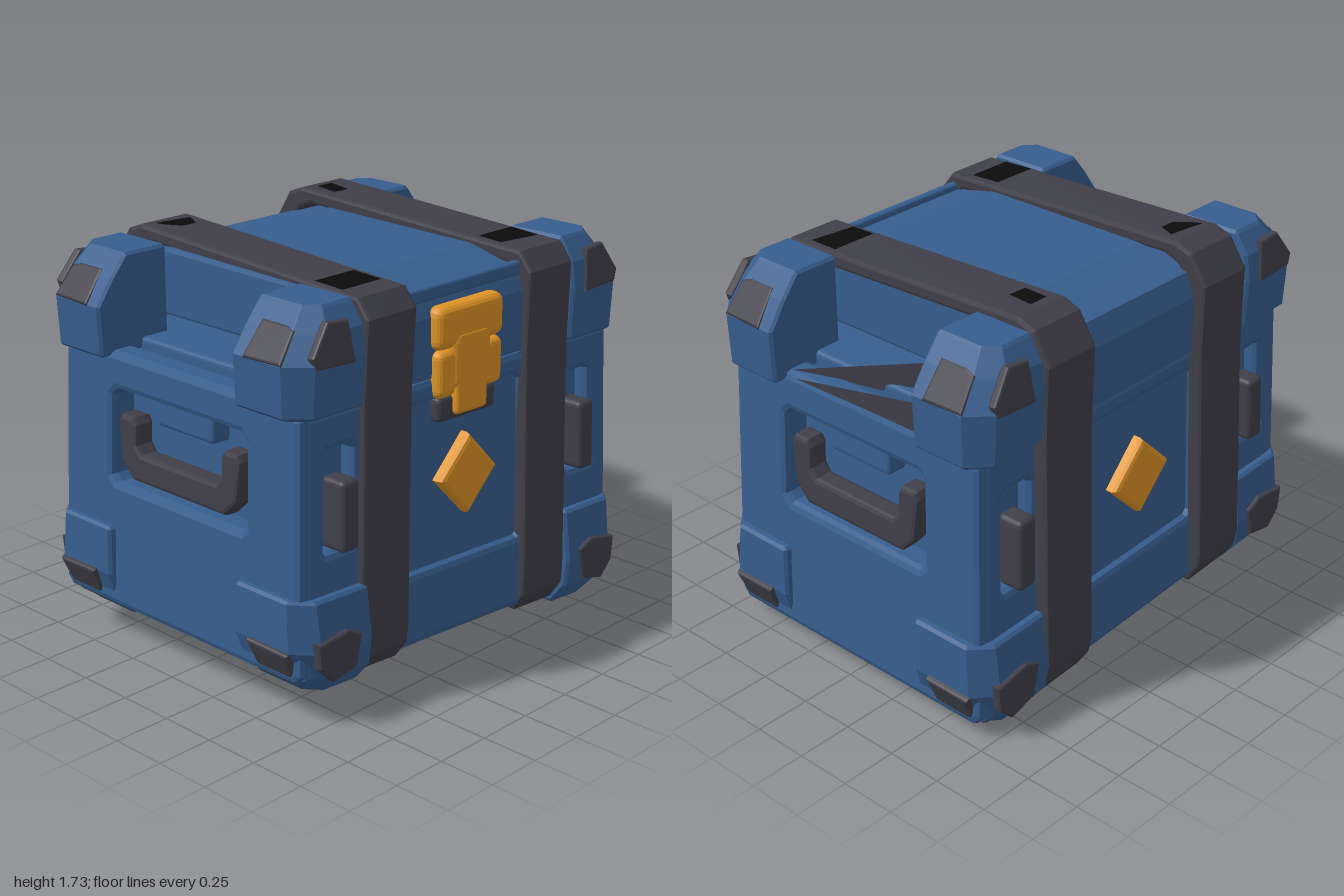
import * as THREE from 'three';
import { RoundedBoxGeometry } from 'three/addons/geometries/RoundedBoxGeometry.js';
import { ConvexGeometry } from 'three/addons/geometries/ConvexGeometry.js';

const material = (name, color) =>
  Object.assign(new THREE.MeshStandardMaterial({ color }), { name });

export function createModel() {
  const model = new THREE.Group();
  model.name = 'chest';
  const blue = material('blue', 0x375e8e);
  const dark = material('darkGrey', 0x403f49);
  const orange = material('orange', 0xe09426);
  const black = material('black', 0x0b0b0c);

  // Lopsided stance: the base leans down towards +x, and the body narrows upwards
  const lean = (x, y) => -0.07 * x * Math.max(0, 1 - y / 1.7);
  function add(name, geo, mat, taper = false) {
    const p = geo.attributes.position;
    for (let i = 0; i < p.count; i++) {
      const y = p.getY(i), k = taper ? 1 - 0.036 * y : 1;
      const x = p.getX(i) * k;
      p.setXYZ(i, x, y + lean(x, y), p.getZ(i) * k);
    }
    geo.computeVertexNormals();
    const mesh = new THREE.Mesh(geo, mat);
    mesh.name = name;
    model.add(mesh);
  }
  const points = (list) => list.map(([a, b]) => new THREE.Vector2(a, b));
  const rect = (x0, x1, y0, y1, c = 0.03) => [
    [x0 + c, y0], [x1 - c, y0], [x1, y0 + c], [x1, y1 - c],
    [x1 - c, y1], [x0 + c, y1], [x0, y1 - c], [x0, y0 + c]];
  // Bevelled slab, centred on z = 0
  function slab(outline, depth, bevel, holes = []) {
    const shape = new THREE.Shape(points(outline));
    holes.forEach((h) => shape.holes.push(new THREE.Path(points(h))));
    const geo = new THREE.ExtrudeGeometry(shape, {
      depth: depth - 2 * bevel, bevelThickness: bevel,
      bevelSize: bevel, bevelOffset: -bevel, bevelSegments: 2 });
    return geo.translate(0, 0, bevel - depth / 2);
  }
  // Slab whose outline lies in (z, y)
  const sideSlab = (...args) => slab(...args).rotateY(-Math.PI / 2);
  const block = (w, h, d, x, y, z, r = 0.02) =>
    new RoundedBoxGeometry(w, h, d, 2, r).translate(x, y, z);
  const hull = (list) => new ConvexGeometry(list.map((v) => new THREE.Vector3(...v)));

  // Body core and the low rim inside the lid opening
  add('bodyCore', new THREE.BoxGeometry(1.68, 1.12, 1.3).translate(0, 0.665, 0), blue, true);
  add('innerRim', block(1.6, 0.16, 1.24, 0, 1.22, 0), blue, true);

  // Front and back walls with grip recesses, a sunken panel and a raised diamond
  const diamond = [[0, -0.175], [0.175, 0], [0, 0.175], [-0.175, 0]];
  for (const s of [1, -1]) {
    const wall = slab(rect(-0.95, 0.95, 0.12, 1.25, 0.02), 0.12, 0.03, [
      rect(-0.36, 0.36, 0.44, 1.15, 0.02),
      rect(-0.85, -0.675, 0.66, 1.085, 0.02), rect(0.675, 0.85, 0.66, 1.085, 0.02)]);
    add('endWall', wall.translate(0, 0, s * 0.665), blue, true);
    add('sunkenPanel', block(0.8, 0.86, 0.1, 0, 0.77, s * 0.645), blue, true);
    for (const x of [-0.75, 0.755])
      add('recessedGrip', block(0.1, 0.3, 0.13, x, 0.815, s * 0.718, 0.025), dark, true);
    add('diamond', slab(diamond, 0.07, 0.02).translate(0, 0.805, s * 0.69), orange);
  }

  // Side walls with a recess, a hinge block and a carrying handle
  const handle = [[-0.36, 1.01], [-0.375, 0.98], [-0.35, 0.8], [-0.28, 0.73], [0.28, 0.73],
    [0.35, 0.8], [0.375, 0.98], [0.36, 1.01], [0.28, 1.01], [0.26, 0.98], [0.26, 0.89],
    [0.23, 0.855], [-0.23, 0.855], [-0.26, 0.89], [-0.26, 0.98], [-0.28, 1.01]];
  for (const s of [1, -1]) {
    const wall = sideSlab(rect(-0.72, 0.72, 0.12, 1.275, 0.04), 0.14, 0.03,
      [rect(-0.41, 0.41, 0.695, 1.11, 0.03)]);
    add('sideWall', wall.translate(s * 0.905, 0, 0), blue, true);
    add('hingeBlock', block(0.12, 0.13, 0.35, s * 0.87, 1.06, 0), blue, true);
    add('carryHandle', sideSlab(handle, 0.1, 0.018).translate(s * 0.92, 0, 0), dark, true);
  }

  // Lid: an arched shell, open at both sides between the corner guards
  const lid = [[0.69, 1.25], [0.685, 1.5], [0.65, 1.585], [0.4, 1.645], [-0.42, 1.655],
    [-0.67, 1.6], [-0.71, 1.5], [-0.71, 1.25], [-0.6, 1.25], [-0.58, 1.36],
    [0.58, 1.36], [0.6, 1.25]];
  add('lid', sideSlab(lid, 1.22, 0.015), blue);
  add('lidFrontTrim', block(0.72, 0.06, 0.04, 0, 1.59, 0.65, 0.015), blue);

  // Straps: closed bands around the chest, slightly splayed
  const band = [[0.75, 0.25], [0.72, 1.22], [0.728, 1.58], [0.665, 1.658], [-0.61, 1.715],
    [-0.69, 1.685], [-0.77, 1.56], [-0.76, 1.22], [-0.78, 0.25], [-0.765, 0.17],
    [-0.71, 0.09], [0.69, 0.09], [0.745, 0.17]];
  const inner = band.map(([z, y]) => [z * 0.9, 0.9 + (y - 0.9) * 0.92]);
  for (const [cx, k, m] of [[-0.455, 0.035, -0.02], [0.495, 0.005, -0.01]]) {
    const geo = sideSlab(band, 0.272, 0.015, [inner]);
    const p = geo.attributes.position;
    for (let i = 0; i < p.count; i++)
      p.setX(i, p.getX(i) + cx + k * (p.getY(i) - 1.6) + m * p.getZ(i));
    add('strap', geo, dark);
  }
  // Black patches on top of the straps, outlined in (x, -z)
  const patches = [
    [[-0.58, -0.567], [-0.365, -0.567], [-0.365, -0.417], [-0.58, -0.417]],
    [[0.382, -0.54], [0.59, -0.567], [0.6, -0.417], [0.385, -0.417]],
    [[-0.46, 0.47], [-0.39, 0.47], [-0.352, 0.55], [-0.43, 0.56], [-0.525, 0.575], [-0.505, 0.525]],
    [[0.415, 0.45], [0.5, 0.445], [0.518, 0.57], [0.428, 0.57]]];
  for (const outline of patches) {
    const geo = new THREE.ShapeGeometry(new THREE.Shape(points(outline)));
    geo.rotateX(-Math.PI / 2 + 0.0447).translate(0, 1.692, 0);
    add('strapPatch', geo, black);
  }
  // Loose strap end inside the lid opening: an inner fold and an outer flap
  add('looseStrapFold', hull([[0.9, 1.275, 0.37], [0.64, 1.47, -0.39],
    [0.62, 1.27, -0.1], [0.63, 1.25, -0.4]]), dark);
  add('looseStrapFlap', hull([[0.925, 1.25, 0.38], [0.925, 1.4, -0.4],
    [0.92, 1.25, -0.4], [0.91, 1.25, -0.4]]), dark);

  // Corner guards: hulls of chamfered rings given as [y, x, z, cut]
  const upper = [[1.25, 0.965, 0.71, 0.07], [1.46, 0.975, 0.722, 0.08],
    [1.57, 0.9, 0.705, 0.08], [1.655, 0.83, 0.65, 0.05]];
  const lower = [[0.48, 0.98, 0.735, 0.07], [0.27, 0.985, 0.762, 0.08],
    [0.15, 0.945, 0.748, 0.1], [0.065, 0.865, 0.68, 0.06]];
  const r = 0.012;
  function guard(rings, sx, sz, [dx, dy, dz]) {
    const pts = [];
    for (const [y, x, z, c] of rings) {
      for (const [a, b] of [[0.63, 0.39], [x, 0.39], [x, z - c], [x - c, z], [0.63, z]]) {
        for (const [i, j, l] of [[r, 0, 0], [-r, 0, 0], [0, r, 0], [0, -r, 0], [0, 0, r], [0, 0, -r]])
          pts.push([sx * a + i + dx, y + j + dy, sz * b + l + dz]);
      }
    }
    return hull(pts);
  }
  const upperFace = [[0.69, -0.09], [0.89, -0.08], [0.91, -0.03], [0.82, 0.095], [0.71, 0.085]];
  const lowerFace = [[0.69, 0.31], [0.77, 0.345], [0.93, 0.32], [0.92, 0.21], [0.85, 0.14], [0.72, 0.17]];
  const tile = [[-0.1, -0.085], [0.1, -0.08], [0.085, 0.07], [0.04, 0.085], [-0.09, 0.085]];
  const low = tile.map(([z, y]) => [z * 1.12, -y]);
  for (const sx of [1, -1]) {
    for (const sz of [1, -1]) {
      // Upper guards sit a little towards the right and the back
      const dx = sx > 0 ? 0.01 : 0, dy = sz < 0 ? 0.012 : 0, dz = sz < 0 ? -0.02 : 0;
      const mirror = (list) => list.map(([a, b]) => [sx * a, b]);
      const turn = (list) => list.map(([a, b]) => [sz * a, b]);
      add('upperCornerGuard', guard(upper, sx, sz, [dx, dy, dz]), blue);
      add('lowerCornerGuard', guard(lower, sx, sz, [0, 0, 0]), blue);
      // Plates on the front or back faces
      add('upperFacePlate', slab(mirror(upperFace), 0.04, 0.01).rotateX(sz * -0.12)
        .translate(dx, 1.525 + dy, sz * 0.716 + dz), dark);
      add('lowerFacePlate', slab(mirror(lowerFace), 0.05, 0.012)
        .translate(0, 0, sz * 0.76), dark);
      // Plates on the sloping side faces
      add('upperSidePlate', sideSlab(turn(tile), 0.04, 0.01).rotateZ(sx * 0.64)
        .translate(sx * 0.929 + dx, 1.52 + dy, sz * 0.545 + dz), dark);
      add('lowerSidePlate', sideSlab(turn(low), 0.05, 0.012).rotateZ(sx * -0.4)
        .translate(sx * 0.962, 0.2, sz * 0.575), dark);
      // Foot plate underneath
      add('footPlate', block(0.13, 0.03, 0.15, sx * 0.76, 0.063, sz * 0.57, 0.01), dark);
    }
  }

  // Latch: top plate, two knuckles, a centre flap and a dark catch below
  add('latchCatch', block(0.35, 0.11, 0.1, -0.01, 1.11, 0.665, 0.025), dark);
  add('latchPlate', block(0.4, 0.18, 0.1, -0.01, 1.45, 0.685, 0.04), orange);
  for (const x of [-0.15, 0.13])
    add('latchKnuckle', block(0.11, 0.2, 0.08, x, 1.26, 0.695, 0.035), orange);
  add('latchNeck', block(0.23, 0.22, 0.09, -0.01, 1.3, 0.695, 0.03), orange);
  add('latchFlap', block(0.19, 0.34, 0.07, -0.01, 1.25, 0.705, 0.02), orange);

  return model;
}
